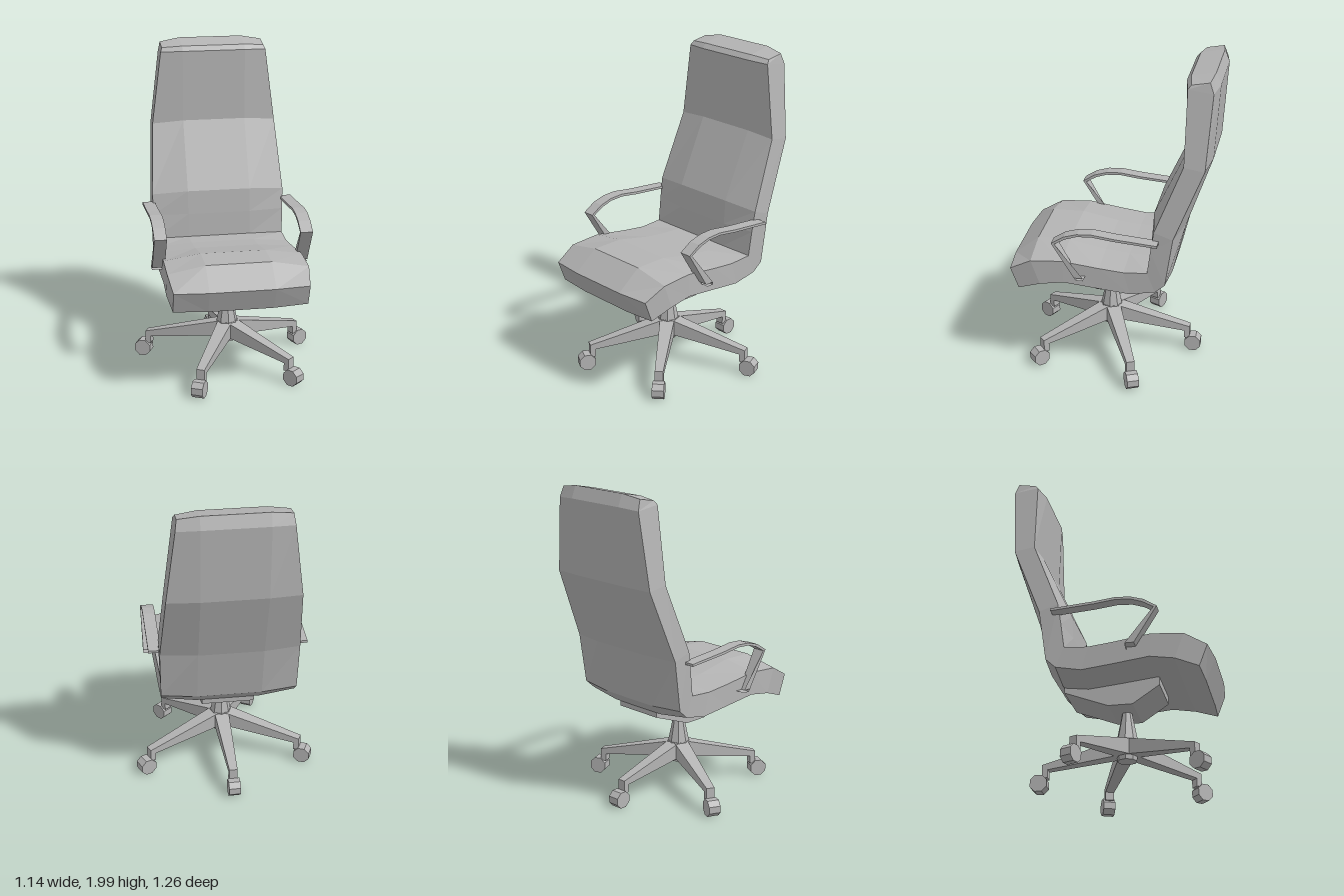
import * as THREE from 'three';

const grey = new THREE.MeshStandardMaterial({ color: 0xb4b4b4 });
grey.name = 'grey';
grey.flatShading = true;

function mesh(name, geometry, parent) {
  const m = new THREE.Mesh(geometry, grey);
  m.name = name;
  parent.add(m);
  return m;
}

// Extrudes a (z, y) outline across x, centred on x = 0
function sideExtrude(points, width) {
  const shape = new THREE.Shape(points.map(([z, y]) => new THREE.Vector2(z, y)));
  const g = new THREE.ExtrudeGeometry(shape, { depth: width, bevelEnabled: false });
  g.translate(0, 0, -width / 2);
  g.rotateY(-Math.PI / 2);
  return g;
}

// Seat and back: rows of [z, y] for centre front, centre rear, edge front, edge rear, half width
const ROWS = [
  [[0.63, 0.71], [0.57, 0.57], [0.61, 0.71], [0.56, 0.578], 0.41],
  [[0.48, 0.83], [0.42, 0.615], [0.475, 0.785], [0.42, 0.63], 0.43],
  [[0.28, 0.835], [0.27, 0.635], [0.28, 0.80], [0.27, 0.655], 0.428],
  [[0.05, 0.79], [0.05, 0.61], [0.05, 0.77], [0.05, 0.63], 0.42],
  [[-0.10, 0.775], [-0.15, 0.59], [-0.10, 0.755], [-0.14, 0.61], 0.415],
  [[-0.235, 0.77], [-0.30, 0.61], [-0.245, 0.765], [-0.295, 0.64], 0.415],
  [[-0.24, 0.92], [-0.37, 0.68], [-0.265, 0.92], [-0.355, 0.695], 0.42],
  [[-0.25, 1.07], [-0.45, 1.02], [-0.285, 1.05], [-0.40, 1.01], 0.425],
  [[-0.44, 1.49], [-0.60, 1.46], [-0.45, 1.475], [-0.575, 1.455], 0.397],
  [[-0.43, 1.94], [-0.63, 1.925], [-0.455, 1.935], [-0.605, 1.915], 0.338],
  [[-0.455, 1.97], [-0.60, 2.0], [-0.475, 1.96], [-0.582, 1.98], 0.328],
];

function cushionGeometry() {
  const pos = [];
  const tri = (a, b, c) => pos.push(...a, ...b, ...c);
  const quad = (a, b, c, d) => { tri(a, b, c); tri(a, c, d); };
  // Closed loop of each row: front left-to-right, then rear right-to-left
  const loops = ROWS.map(([cf, cr, ef, er, w]) => {
    const p = (x, [z, y]) => [x, y, z];
    return [
      p(-w, ef), p(-0.2, cf), p(0.2, cf), p(w, ef),
      p(w, er), p(0.2, cr), p(-0.2, cr), p(-w, er),
    ];
  });
  for (let i = 0; i < loops.length - 1; i++) {
    const a = loops[i], b = loops[i + 1];
    for (let j = 0; j < 8; j++) {
      const k = (j + 1) % 8;
      quad(a[j], a[k], b[k], b[j]);
    }
  }
  // End faces
  const first = loops[0], last = loops[loops.length - 1];
  for (let j = 0; j < 3; j++) {
    quad(first[j], first[7 - j], first[6 - j], first[j + 1]);
    quad(last[j], last[j + 1], last[6 - j], last[7 - j]);
  }
  const g = new THREE.BufferGeometry();
  g.setAttribute('position', new THREE.Float32BufferAttribute(pos, 3));
  g.computeVertexNormals();
  return g;
}

// Flat strap bent into an open loop
const ARM = [
  [-0.315, 0.993], [-0.05, 1.014], [0.08, 1.03], [0.17, 1.024], [0.25, 1.0], [0.328, 0.95],
  [0.19, 0.726], [0.135, 0.726], [0.135, 0.71], [0.18, 0.71],
  [0.308, 0.945], [0.24, 0.985], [0.17, 1.008], [0.08, 1.014], [-0.05, 0.998], [-0.315, 0.978],
];

// Base leg running along +z, narrowing outward, with a caster stem at its tip
function legGeometry(reach) {
  const r = reach - 0.02;
  const g = sideExtrude([
    [0, 0.3], [0.04, 0.3], [r, 0.172], [r, 0.09], [r - 0.035, 0.09],
    [r - 0.035, 0.14], [r - 0.11, 0.15], [0.04, 0.2], [0, 0.2],
  ], 2);
  const p = g.attributes.position;
  for (let i = 0; i < p.count; i++) {
    const t = Math.min(1, p.getZ(i) / r);
    p.setX(i, p.getX(i) * (0.048 - 0.022 * t));
  }
  g.computeVertexNormals();
  return g;
}

export function createModel() {
  const chair = new THREE.Group();
  chair.name = 'officeChair';

  mesh('seatAndBack', cushionGeometry(), chair);

  for (const s of [1, -1]) {
    mesh(s > 0 ? 'leftArmrest' : 'rightArmrest', sideExtrude(ARM, 0.077), chair)
      .position.x = s * 0.448;
  }

  // Tilt mechanism under the seat
  mesh('tiltMechanism', sideExtrude([
    [0.285, 0.64], [0.285, 0.585], [0.12, 0.475], [-0.03, 0.475], [-0.3, 0.578], [-0.3, 0.62],
  ], 0.325), chair);

  // Column and hub
  const base = new THREE.Group();
  base.name = 'base';
  base.position.z = 0.055;
  chair.add(base);
  mesh('column', new THREE.CylinderGeometry(0.03, 0.068, 0.19, 8), base).position.y = 0.385;
  mesh('hub', new THREE.CylinderGeometry(0.068, 0.06, 0.13, 8), base).position.y = 0.235;

  // Five legs with casters, placed by caster position relative to the hub
  const tips = [[-0.015, -0.535], [0.51, -0.225], [-0.51, -0.225], [-0.25, 0.475], [0.35, 0.4]];
  for (const [x, z] of tips) {
    const reach = Math.hypot(x, z);
    const arm = new THREE.Group();
    arm.name = 'legWithCaster';
    arm.rotation.y = Math.atan2(x, z);
    base.add(arm);
    mesh('leg', legGeometry(reach), arm);
    const wheel = new THREE.CylinderGeometry(0.055, 0.055, 0.074, 8);
    wheel.rotateY(Math.PI / 8);
    wheel.rotateZ(Math.PI / 2);
    mesh('caster', wheel, arm).position.set(0, 0.056, reach);
  }
  return chair;
}
